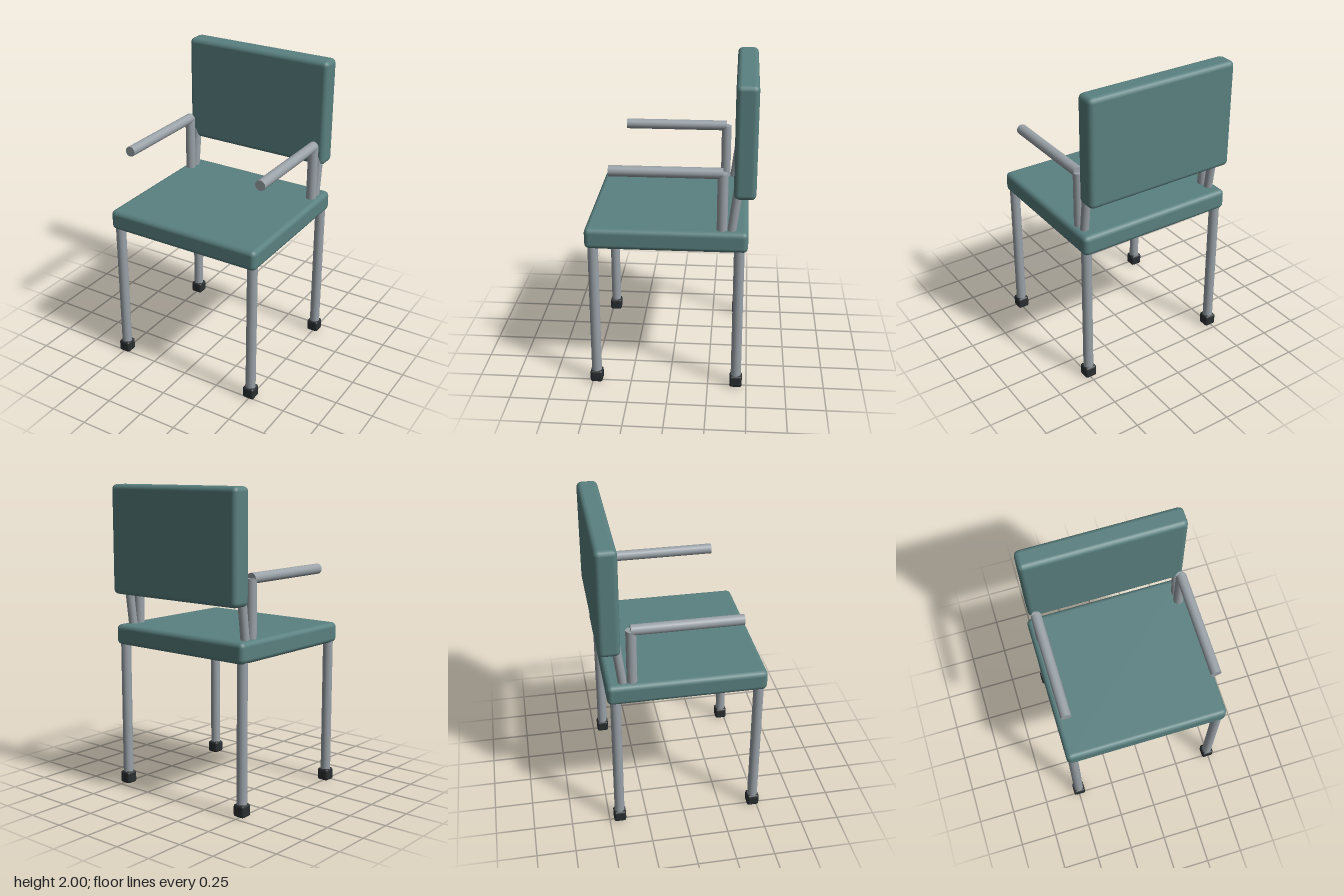
import * as THREE from 'three';
import { RoundedBoxGeometry } from 'three/addons/geometries/RoundedBoxGeometry.js';

const padding = new THREE.MeshStandardMaterial({ color: 0x5a8080 });
const metal = new THREE.MeshStandardMaterial({ color: 0x9aa2a8 });
const rubber = new THREE.MeshStandardMaterial({ color: 0x2a2e30 });

export function createModel() {
  const chair = new THREE.Group();
  chair.name = 'chair';

  // Rounded block given by its size and centre
  function block(name, size, centre, radius, material) {
    const mesh = new THREE.Mesh(new RoundedBoxGeometry(...size, 2, radius), material);
    mesh.position.set(...centre);
    mesh.name = name;
    chair.add(mesh);
  }

  // Straight round bar between two points
  function bar(name, from, to, radius) {
    const a = new THREE.Vector3(...from), b = new THREE.Vector3(...to);
    const mesh = new THREE.Mesh(new THREE.CylinderGeometry(radius, radius, a.distanceTo(b), 16), metal);
    mesh.position.copy(a).lerp(b, 0.5);
    mesh.quaternion.setFromUnitVectors(new THREE.Vector3(0, 1, 0), b.sub(a).normalize());
    mesh.name = name;
    chair.add(mesh);
  }

  // Cushions
  block('seat', [1.072, 0.135, 1.01], [0, 1.022, 0.02], 0.032, padding);
  block('backrest', [1.032, 0.705, 0.136], [0, 1.6475, -0.457], 0.032, padding);

  for (const [side, s] of [['left', 1], ['right', -1]]) {
    // Legs with rubber feet
    for (const [end, z] of [['Front', 0.475], ['Back', -0.432]]) {
      bar(side + end + 'Leg', [s * 0.495, 0.04, z], [s * 0.495, 1.0, z], 0.033);
      block(side + end + 'Foot', [0.08, 0.08, 0.08], [s * 0.495, 0.04, z], 0.015, rubber);
    }
    // Arm post and armrest
    bar(side + 'ArmPost', [s * 0.475, 1.02, -0.323], [s * 0.475, 1.455, -0.323], 0.033);
    bar(side + 'Armrest', [s * 0.475, 1.455, -0.325], [s * 0.475, 1.455, 0.365], 0.034);
    // Leaning bar that carries the backrest
    bar(side + 'BackSupport', [s * 0.475, 1.03, -0.376], [s * 0.475, 1.42, -0.424], 0.028);
  }
  return chair;
}
